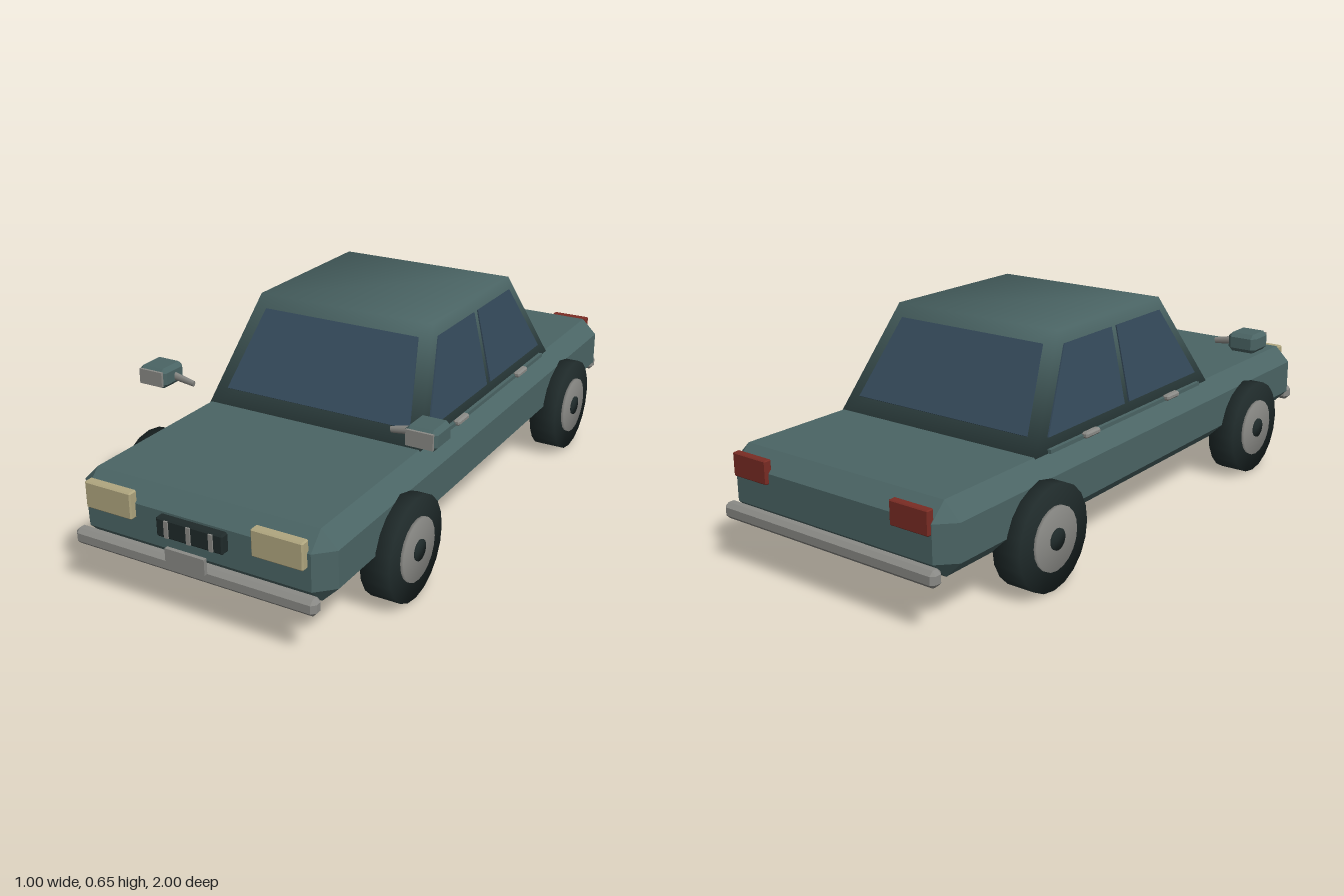
import * as THREE from 'three';
import { mergeVertices } from 'three/addons/utils/BufferGeometryUtils.js';
import { ConvexGeometry } from 'three/addons/geometries/ConvexGeometry.js';

const paint = (name, color) => {
  const m = new THREE.MeshStandardMaterial({ color });
  m.name = name;
  return m;
};

// Box with all edges cut at 45 degrees by c
function chamferBox(w, h, d, c) {
  const points = [];
  for (const sx of [-1, 1]) for (const sy of [-1, 1]) for (const sz of [-1, 1]) {
    const x = w / 2, y = h / 2, z = d / 2;
    points.push(
      new THREE.Vector3(sx * x, sy * (y - c), sz * (z - c)),
      new THREE.Vector3(sx * (x - c), sy * y, sz * (z - c)),
      new THREE.Vector3(sx * (x - c), sy * (y - c), sz * z));
  }
  return new ConvexGeometry(points);
}

// Thin plate lying on four corner points
function plate(corners, thickness = 0.004) {
  const p = corners.map((c) => new THREE.Vector3(...c));
  const n = p[1].clone().sub(p[0]).cross(p[2].clone().sub(p[0])).setLength(thickness);
  return new ConvexGeometry([...p.map((v) => v.clone().add(n)), ...p.map((v) => v.clone().sub(n))]);
}

// Share corners so shading runs smoothly around every edge
function soften(geometry) {
  geometry.deleteAttribute('uv');
  geometry.deleteAttribute('normal');
  const merged = mergeVertices(geometry, 1e-4);
  merged.computeVertexNormals();
  return merged;
}

export function createModel() {
  const car = new THREE.Group();
  car.name = 'car';
  const body = paint('bodyGreen', 0x4b6565);
  const glass = paint('glass', 0x34495a);
  const chrome = paint('chrome', 0x8a8a86);
  const rubber = paint('rubber', 0x1f2a2a);
  const lamp = paint('headlightCream', 0xb0a67f);
  const red = paint('tailRed', 0x7a2c24);

  const add = (name, geometry, material, x = 0, y = 0, z = 0, parent = car) => {
    const mesh = new THREE.Mesh(geometry, material);
    mesh.name = name;
    mesh.position.set(x, y, z);
    parent.add(mesh);
    return mesh;
  };

  // Lower body
  add('lowerBody', chamferBox(0.82, 0.209, 1.92, 0.05), body, 0, 0.2465, -0.007);

  // Cabin: a box whose corners are drawn in towards the roof
  const cabin = new THREE.BoxGeometry(2, 1, 2);
  const pos = cabin.attributes.position;
  for (let i = 0; i < pos.count; i++) {
    const top = pos.getY(i) > 0, front = pos.getZ(i) > 0;
    const z = top ? (front ? 0.18 : -0.352) : (front ? 0.381 : -0.548);
    pos.setXYZ(i, pos.getX(i) * (top ? 0.298 : 0.365), top ? 0.655 : 0.348, z);
  }
  add('cabin', soften(cabin), body);

  // Windscreen and rear window
  const lo = 0.394, hi = 0.617;
  const endWindow = (zLo, zHi) =>
    plate([[-0.316, lo, zLo], [0.316, lo, zLo], [0.264, hi, zHi], [-0.264, hi, zHi]]);
  add('windscreen', endWindow(0.351, 0.205), glass);
  add('rearWindow', endWindow(-0.519, -0.376), glass);

  for (const s of [-1, 1]) {
    const side = s > 0 ? 'left' : 'right';

    // Side windows
    const xLo = s * 0.357, xHi = s * 0.306;
    add(side + 'FrontWindow', plate([[xLo, 0.39, 0.314], [xLo, 0.39, -0.075], [xHi, hi, -0.075], [xHi, hi, 0.168]]), glass);
    add(side + 'BackWindow', plate([[xLo, 0.39, -0.1], [xLo, 0.39, -0.482], [xHi, hi, -0.338], [xHi, hi, -0.1]]), glass);

    // Belt trim and door handles
    add(side + 'BeltTrim', new THREE.BoxGeometry(0.012, 0.012, 0.81), body, s * 0.368, 0.354, -0.085);
    for (const z of [0.14, -0.3])
      add(side + 'DoorHandle', chamferBox(0.022, 0.018, 0.07, 0.005), chrome, s * 0.377, 0.359, z);

    // Wing mirror on its arm
    const mirror = new THREE.Group();
    mirror.name = side + 'Mirror';
    car.add(mirror);
    add('mirrorShell', chamferBox(0.098, 0.062, 0.1, 0.013), body, s * 0.449, 0.471, 0.5, mirror);
    add('mirrorGlass', new THREE.BoxGeometry(0.082, 0.046, 0.008), chrome, s * 0.449, 0.471, 0.549, mirror);
    const arm = add('mirrorArm', new THREE.CylinderGeometry(0.014, 0.01, 0.08, 8), chrome, s * 0.373, 0.462, 0.495, mirror);
    arm.rotation.z = -s * 1.4;
    arm.scale.z = 0.6;

    // Lamps
    add(side + 'Headlight', chamferBox(0.157, 0.08, 0.03, 0.004), lamp, s * 0.271, 0.298, 0.958);
    add(side + 'TailLight', chamferBox(0.13, 0.07, 0.024, 0.003), red, s * 0.293, 0.305, -0.966);

    // Wheels
    for (const [end, z] of [['Front', 0.57], ['Back', -0.584]]) {
      const wheel = new THREE.Group();
      wheel.name = side + end + 'Wheel';
      wheel.position.set(s * 0.41, 0.154, z);
      wheel.rotation.z = -s * Math.PI / 2;
      car.add(wheel);
      const disc = (r, h) => soften(new THREE.CylinderGeometry(r, r, h, 20));
      add('tyre', disc(0.154, 0.09), rubber, 0, 0, 0, wheel);
      add('hubcap', disc(0.093, 0.02), chrome, 0, 0.044, 0, wheel);
      add('hubCentre', disc(0.031, 0.02), rubber, 0, 0.049, 0, wheel);
    }
  }

  // Bumpers
  add('frontBumper', chamferBox(0.78, 0.048, 0.042, 0.012), chrome, 0, 0.166, 0.968);
  add('rearBumper', chamferBox(0.78, 0.048, 0.042, 0.012), chrome, 0, 0.166, -0.979);

  // Grille with upright bars, and blank number plate
  add('grille', chamferBox(0.216, 0.058, 0.03, 0.005), rubber, 0, 0.266, 0.962);
  for (const x of [-0.072, 0, 0.072])
    add('grilleBar', new THREE.BoxGeometry(0.013, 0.05, 0.012), chrome, x, 0.266, 0.975);
  add('numberPlate', new THREE.BoxGeometry(0.127, 0.046, 0.012), chrome, 0, 0.201, 0.994);

  return car;
}
